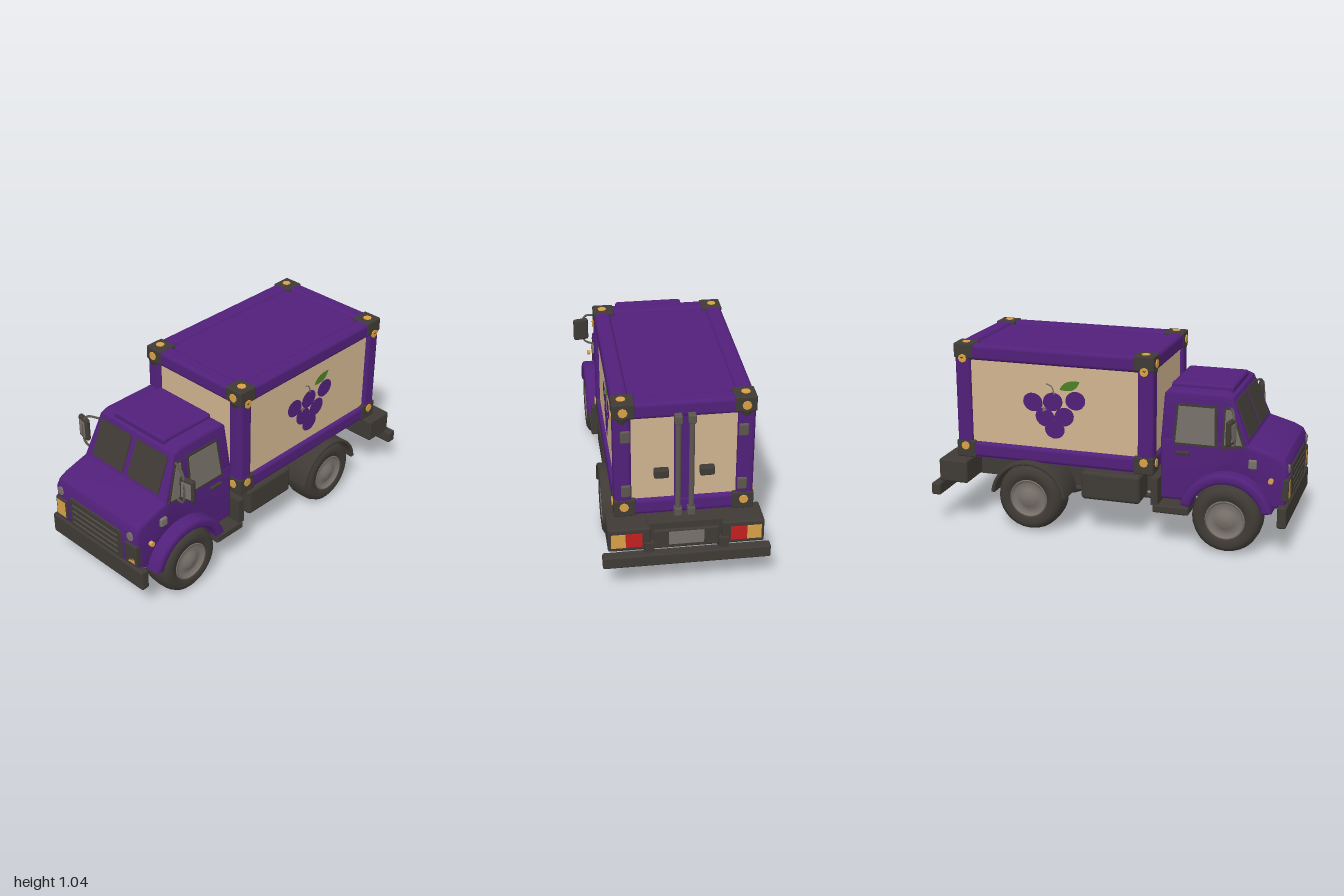
import * as THREE from 'three';
import { RoundedBoxGeometry } from 'three/addons/geometries/RoundedBoxGeometry.js';
import { toCreasedNormals } from 'three/addons/utils/BufferGeometryUtils.js';

const mat = (name, color) => Object.assign(new THREE.MeshStandardMaterial({ color }), { name });
const M = {
  purple: mat('purple paint', 0x51207a),
  tan: mat('tan panel', 0xd0b48f),
  dark: mat('dark trim', 0x3f3a35),
  rod: mat('steel grey', 0x5c5650),
  grey: mat('glass grey', 0x79726b),
  orange: mat('amber', 0xd9a046),
  red: mat('red lamp', 0xc41f1f),
  green: mat('leaf green', 0x4b8025),
};

export function createModel() {
  const root = new THREE.Group();
  root.name = 'deliveryTruck';

  function add(name, geo, m, x = 0, y = 0, z = 0, parent = root) {
    const mesh = new THREE.Mesh(geo, m);
    mesh.name = name;
    mesh.position.set(x, y, z);
    parent.add(mesh);
    return mesh;
  }
  // box given by its extents; r rounds the edges
  function box(name, m, [x0, x1], [y0, y1], [z0, z1], r = 0) {
    const s = [x1 - x0, y1 - y0, z1 - z0];
    const g = r ? new RoundedBoxGeometry(...s, 2, r) : new THREE.BoxGeometry(...s);
    return add(name, g, m, (x0 + x1) / 2, (y0 + y1) / 2, (z0 + z1) / 2);
  }
  // cylinder along the given axis
  function rod(name, m, r, len, axis, x, y, z, seg = 14) {
    const g = new THREE.CylinderGeometry(r, r, len, seg);
    if (axis === 'x') g.rotateZ(Math.PI / 2);
    if (axis === 'z') g.rotateX(Math.PI / 2);
    return add(name, g, m, x, y, z);
  }
  // side profile extruded along z, centred on z = 0
  function slab(shape, width, bevel = 0) {
    const g = new THREE.ExtrudeGeometry(shape, {
      depth: width - 2 * bevel, bevelEnabled: bevel > 0, bevelThickness: bevel,
      bevelSize: bevel, bevelOffset: -bevel, bevelSegments: 3, curveSegments: 20,
    });
    g.translate(0, 0, bevel - width / 2);
    return toCreasedNormals(g, 0.6);
  }
  const poly = (pts) => new THREE.Shape(pts.map((p) => new THREE.Vector2(...p)));
  function arch(outer, inner, a) {
    const s = new THREE.Shape();
    s.absarc(0, 0, outer, a, Math.PI - a, false);
    s.absarc(0, 0, inner, Math.PI - a, a, true);
    return s;
  }
  const sides = [1, -1];

  // Cab: lower body with open wheel arch
  const lower = new THREE.Shape();
  lower.moveTo(-0.305, 0.25);
  [[-0.305, 0.6], [-0.76, 0.6], [-0.92, 0.555], [-0.97, 0.53], [-0.992, 0.49], [-0.985, 0.27], [-0.9, 0.25]]
    .forEach((p) => lower.lineTo(...p));
  lower.absarc(-0.68, 0.19, 0.225, Math.PI - 0.27, 0.27, true);
  add('cabBody', slab(lower, 0.64, 0.02), M.purple);

  // Cab: upper cabin narrowing towards the roof
  const halfWidth = (y) => 0.318 - 0.14 * (y - 0.58);
  const cabin = slab(poly([[-0.305, 0.57], [-0.315, 0.83], [-0.335, 0.848], [-0.64, 0.848],
    [-0.685, 0.83], [-0.79, 0.57]]), 0.636, 0.015);
  const cp = cabin.attributes.position;
  for (let i = 0; i < cp.count; i++) cp.setZ(i, cp.getZ(i) * halfWidth(cp.getY(i)) / 0.318);
  add('cabin', cabin, M.purple);
  box('roofPanel', M.purple, [-0.67, -0.33], [0.83, 0.872], [-0.195, 0.195], 0.015);

  // Windscreen panes and divider
  for (const s of sides) {
    const pane = add('windscreen', new THREE.BoxGeometry(0.009, 0.21, 0.235), M.dark, -0.736, 0.71, s * 0.137);
    pane.rotation.z = -0.385;
  }

  // Side windows follow the lean of the cabin
  function sidePlate(name, m, pts, s, lift) {
    const g = slab(poly(pts), 0.008);
    const p = g.attributes.position;
    for (let i = 0; i < p.count; i++) p.setZ(i, p.getZ(i) + s * (halfWidth(p.getY(i)) + lift));
    add(name, g, m);
  }
  for (const s of sides) {
    sidePlate('windowSeal', M.dark, [[-0.375, 0.565], [-0.385, 0.785], [-0.605, 0.785], [-0.615, 0.565]], s, 0);
    sidePlate('doorWindow', M.grey, [[-0.388, 0.578], [-0.398, 0.772], [-0.592, 0.772], [-0.602, 0.578]], s, 0.003);
    sidePlate('ventSeal', M.dark, [[-0.64, 0.565], [-0.64, 0.785], [-0.685, 0.785], [-0.765, 0.58]], s, 0);
    sidePlate('ventWindow', M.grey, [[-0.652, 0.585], [-0.652, 0.772], [-0.68, 0.772], [-0.748, 0.59]], s, 0.003);
    box('doorHandle', M.dark, [-0.47, -0.39], [0.515, 0.532], [s * 0.325 - 0.012, s * 0.325 + 0.012], 0.005);
    box('sideVent', M.grey, [-0.83, -0.785], [0.47, 0.52], [s * 0.32 - 0.015, s * 0.32 + 0.015], 0.008);

    // Front fender
    add('frontFender', slab(arch(0.255, 0.2, 0.25), 0.13, 0.018), M.purple, -0.68, 0.19, s * 0.332);

    // Mirror with its bent arm
    const arm = new THREE.CatmullRomCurve3([[-0.70, 0.58, 0.31], [-0.72, 0.6, 0.38], [-0.72, 0.7, 0.395],
      [-0.71, 0.77, 0.37], [-0.68, 0.78, 0.29]].map(([x, y, z]) => new THREE.Vector3(x, y, s * z)));
    add('mirrorArm', new THREE.TubeGeometry(arm, 20, 0.007, 6), M.rod);
    const head = add('mirrorHead', new RoundedBoxGeometry(0.03, 0.135, 0.09, 3, 0.014), M.dark, -0.705, 0.685, s * 0.402);
    head.rotation.y = s * 0.2;
    add('mirrorGlass', new THREE.BoxGeometry(0.006, 0.095, 0.06), M.grey, -0.014, 0, 0, head);

    // Front lamps
    box('lampFrame', M.dark, [-1.0, -0.95], [0.3, 0.43], [s * 0.275 - 0.045, s * 0.275 + 0.045], 0.01);
    box('headlamp', M.orange, [-1.0, -0.96], [0.315, 0.415], [s * 0.275 - 0.034, s * 0.275 + 0.034]);
    rod('bonnetLamp', M.grey, 0.024, 0.03, 'x', -0.982, 0.475, s * 0.275);
    rod('sideMarker', M.orange, 0.014, 0.02, 'z', -0.91, 0.42, s * 0.345);

    // Step, side tank, rear mudguard
    box('cabStep', M.dark, [-0.48, -0.28], [0.19, 0.235], [s * 0.285 - 0.1, s * 0.285 + 0.1], 0.01);
    box('stepBracket', M.dark, [-0.31, -0.27], [0.23, 0.38], [s * 0.28 - 0.1, s * 0.28 + 0.1]);
    box('sideTank', M.dark, [-0.2, 0.135], [0.21, 0.37], [s * 0.265 - 0.09, s * 0.265 + 0.09], 0.02);
    rod('lowerPipe', M.dark, 0.014, 0.72, 'x', -0.11, 0.215, s * 0.2);
    const guard = add('rearMudguard', slab(arch(0.22, 0.2, 0.1), 0.2, 0.006), M.dark, 0.43, 0.19, s * 0.3);
    guard.scale.y = 0.97;
  }

  // Grille and front bumper
  box('grille', M.dark, [-0.999, -0.95], [0.29, 0.475], [-0.205, 0.205], 0.012);
  for (let i = 0; i < 4; i++) {
    box('grilleBar', M.rod, [-1.0, -0.99], [0.32 + i * 0.036, 0.33 + i * 0.036], [-0.18, 0.18]);
  }
  box('frontBumper', M.dark, [-1.0, -0.95], [0.165, 0.285], [-0.36, 0.36], 0.012);

  // Chassis, drive line and axles
  box('chassis', M.dark, [-0.96, 0.94], [0.24, 0.385], [-0.195, 0.195]);
  rod('driveShaft', M.rod, 0.02, 1.1, 'x', -0.12, 0.2, 0);
  for (const x of [-0.68, 0.43]) {
    rod('axle', M.dark, 0.03, 0.5, 'z', x, 0.19, 0);
    add('differential', new THREE.SphereGeometry(0.066, 14, 10), M.dark, x, 0.192, 0);
  }

  // Wheels
  const v2 = (pts) => pts.map((p) => new THREE.Vector2(...p));
  const tyre = new THREE.LatheGeometry(v2([[0.02, -0.09], [0.15, -0.095], [0.175, -0.082], [0.187, -0.05], [0.19, 0],
    [0.187, 0.05], [0.175, 0.08], [0.15, 0.095], [0.11, 0.09], [0.1, 0.07]]), 28);
  const rim = new THREE.LatheGeometry(v2([[0.112, 0.07], [0.108, 0.09], [0.098, 0.092], [0.088, 0.07], [0.05, 0.082],
    [0.035, 0.095], [0, 0.098]]), 28);
  for (const x of [-0.68, 0.43]) for (const s of sides) {
    const wheel = new THREE.Group();
    wheel.name = 'wheel';
    wheel.position.set(x, 0.19, s * 0.297);
    wheel.rotation.x = s * Math.PI / 2;
    add('tyre', tyre, M.dark, 0, 0, 0, wheel);
    add('rim', rim, M.grey, 0, 0, 0, wheel);
    root.add(wheel);
  }

  // Tail: lamp housings, plate and bumper
  for (const s of sides) {
    box('lampHousing', M.dark, [0.79, 0.96], [0.243, 0.375], [s * 0.29 - 0.11, s * 0.29 + 0.11], 0.012);
    box('tailLamp', M.red, [0.955, 0.964], [0.268, 0.347], [s * 0.268 - 0.042, s * 0.268 + 0.042]);
    box('turnLamp', M.orange, [0.955, 0.964], [0.268, 0.347], [s * 0.347 - 0.037, s * 0.347 + 0.037]);
    rod('bumperStop', M.dark, 0.022, 0.02, 'x', 0.99, 0.2, s * 0.19);
    box('bumperBracket', M.dark, [0.92, 0.975], [0.2, 0.29], [s * 0.19 - 0.025, s * 0.19 + 0.025]);
  }
  box('plateHolder', M.dark, [0.92, 0.955], [0.24, 0.35], [-0.17, 0.17], 0.01);
  box('plate', M.grey, [0.95, 0.959], [0.265, 0.34], [-0.09, 0.09]);
  box('rearBumper', M.dark, [0.945, 1.0], [0.168, 0.237], [-0.43, 0.43], 0.01);

  // Cargo box: recessed panels inside a beam frame
  const X = [-0.275, 0.86], Y = [0.39, 1.035], Z = [-0.355, 0.355], t = 0.09;
  box('cargoPanels', M.tan, [X[0] + 0.02, X[1] - 0.02], [Y[0] + 0.02, Y[1] - 0.03], [Z[0] + 0.02, Z[1] - 0.02]);
  box('cargoRoof', M.purple, [X[0] + 0.05, X[1] - 0.05], [Y[1] - 0.04, Y[1] - 0.015], [Z[0] + 0.05, Z[1] - 0.05]);
  box('cargoFloor', M.purple, [X[0] + 0.01, X[1] - 0.01], [Y[0], Y[0] + 0.03], [Z[0] + 0.01, Z[1] - 0.01]);
  const ends = ([a, b]) => [[a, a + t], [b - t, b]];
  for (const y of ends(Y)) for (const z of ends(Z)) box('longBeam', M.purple, X, y, z, 0.022);
  for (const x of ends(X)) for (const z of ends(Z)) box('cornerPost', M.purple, x, Y, z, 0.022);
  for (const x of ends(X)) for (const y of ends(Y)) box('crossBeam', M.purple, x, y, Z, 0.022);

  // Corner fittings with bolts
  for (const sx of sides) for (const sz of sides) for (const top of [true, false]) {
    const x = sx > 0 ? X[1] : X[0], z = sz * Z[1];
    const span = (c, s, l) => (s > 0 ? [c - l, c + 0.003] : [c - 0.003, c + l]);
    const y = top ? [0.955, 1.038] : [0.387, 0.485];
    box('cornerFitting', M.dark, span(x, sx, 0.11), y, span(z, sz, 0.11), 0.008);
    if (top) {
      const cup = add('cornerCup', new THREE.CylinderGeometry(0.056, 0.034, 0.075, 12), M.dark, x - sx * 0.047, 0.925, z - sz * 0.047);
      cup.scale.set(1.05, 1, 1.05);
      rod('bolt', M.orange, 0.024, 0.01, 'y', x - sx * 0.055, 1.036, z - sz * 0.047, 8);
    }
    rod('bolt', M.orange, 0.024, 0.012, 'z', x - sx * 0.05, top ? 0.955 : 0.455, z + sz * 0.003, 8);
    rod('bolt', M.orange, 0.024, 0.012, 'x', x + sx * 0.003, top ? 0.993 : 0.445, z - sz * 0.05, 8);
  }

  // Rear doors: centre strip, lock rods, handles and hinges
  box('doorStrip', M.purple, [0.83, 0.855], [0.46, 0.96], [-0.05, 0.05]);
  for (const s of sides) {
    rod('lockRod', M.rod, 0.014, 0.57, 'y', 0.876, 0.68, s * 0.034);
    for (const y of [0.412, 0.95]) box('rodKeeper', M.rod, [0.85, 0.896], [y - 0.024, y + 0.024], [s * 0.034 - 0.02, s * 0.034 + 0.02], 0.007);
    box('doorHandle', M.dark, [0.835, 0.875], [0.607, 0.657], [s * 0.116 - 0.038, s * 0.116 + 0.038], 0.01);
    for (const y of [0.855, 0.54]) box('hinge', M.rod, [0.845, 0.87], [y - 0.035, y + 0.035], [s * 0.295 - 0.025, s * 0.295 + 0.025], 0.01);
  }

  // Painted grapes on both long panels
  for (const s of sides) {
    const art = new THREE.Group();
    art.name = 'grapePainting';
    art.position.set(0.29, 0, s * 0.337);
    art.rotation.y = s > 0 ? 0 : Math.PI;
    root.add(art);
    [[-0.12, 0.735, -0.3], [-0.005, 0.745, 0.3], [0.125, 0.76, 0.2], [-0.05, 0.655, -0.5], [0.06, 0.665, 0.5], [0.005, 0.59, 0]]
      .forEach(([x, y, a], i) => {
        const grape = add('grape', new THREE.CircleGeometry(0.052, 18), M.purple, x, y, 0.0015 + i * 0.0002, art);
        grape.scale.x = 1.1;
        grape.rotation.z = a;
      });
    add('grapeShade', new THREE.CircleGeometry(0.02, 3), M.grey, -0.055, 0.7, 0.004, art);
    const leaf = new THREE.Shape();
    leaf.moveTo(-0.062, 0);
    leaf.quadraticCurveTo(-0.02, 0.05, 0.062, 0.01);
    leaf.quadraticCurveTo(0.02, -0.05, -0.062, 0);
    add('leaf', new THREE.ShapeGeometry(leaf), M.green, 0.095, 0.838, 0.004, art).rotation.z = 0.35;
    const stem = new THREE.CatmullRomCurve3([[-0.04, 0.845, 0], [-0.01, 0.83, 0], [0.005, 0.785, 0]].map((p) => new THREE.Vector3(...p)));
    add('stem', new THREE.TubeGeometry(stem, 8, 0.004, 5), M.grey, 0, 0, 0.002, art);
  }
  return root;
}
